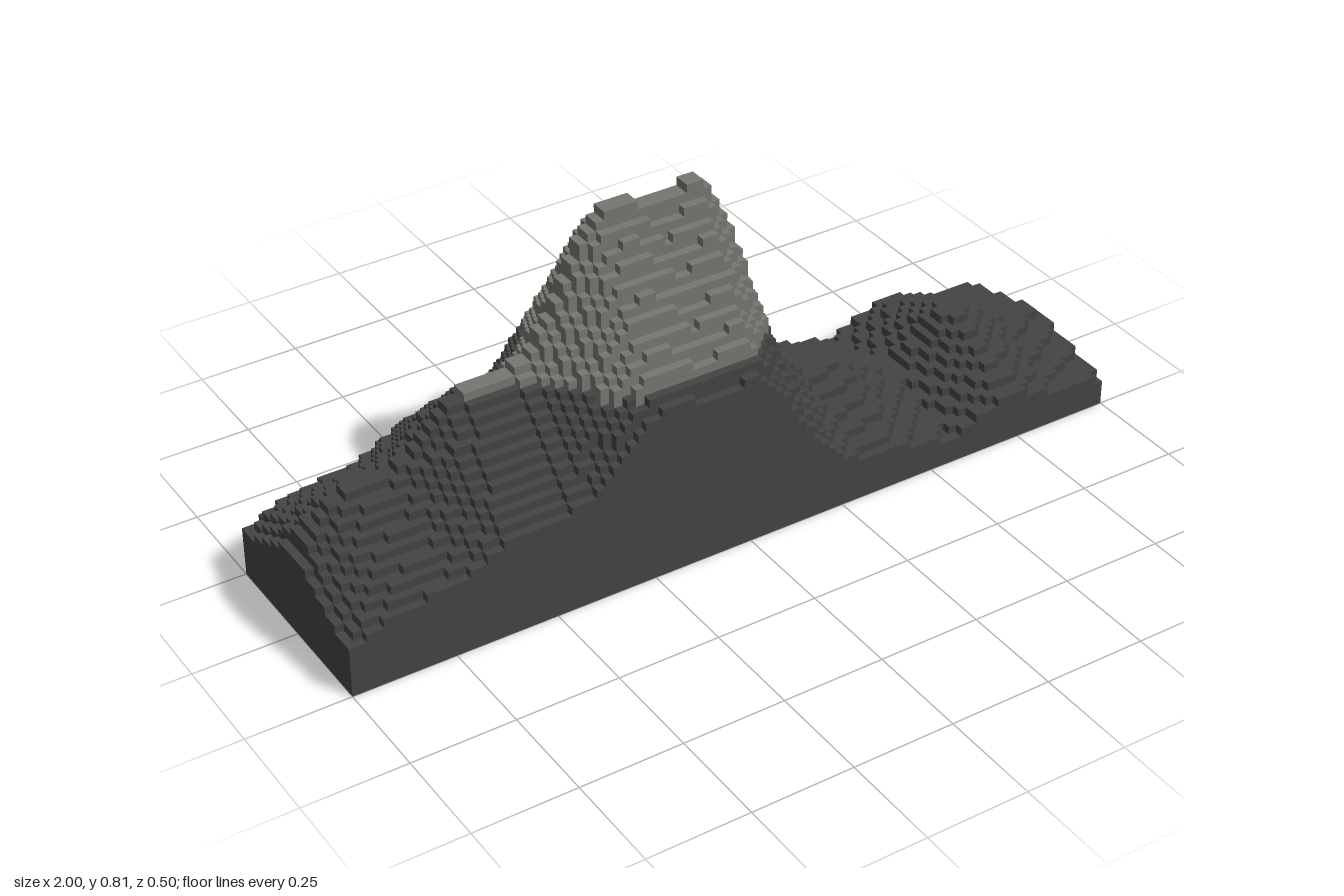
import * as THREE from 'three';

const NX = 96, NZ = 24, U = 2 / NX;      // grid of blocks and block size
const ROCK_LINE = 23;                    // columns this tall are bare rock

// Ridge line along the middle: [x, height in blocks]
const RIDGE = [
  [-1, 9.6], [-0.97, 12], [-0.94, 13.5], [-0.9, 15], [-0.87, 15.8], [-0.8, 16], [-0.76, 16.3],
  [-0.72, 17.2], [-0.68, 19], [-0.62, 22], [-0.58, 22.5], [-0.52, 23], [-0.46, 23.5], [-0.42, 24.3],
  [-0.38, 27], [-0.35, 29.5], [-0.3, 34.5], [-0.25, 38], [-0.23, 38.6], [-0.19, 39.1], [-0.15, 38.5],
  [-0.09, 37.6], [-0.02, 38.5], [0, 39], [0.02, 38.4], [0.05, 36], [0.09, 32], [0.12, 28],
  [0.14, 24.5], [0.16, 21], [0.2, 16], [0.25, 12], [0.3, 10.2], [0.36, 9.9], [0.41, 9.4],
  [0.45, 8], [0.52, 6.5], [0.55, 6], [0.58, 6.5], [0.65, 9], [0.69, 10.5], [0.73, 11.2],
  [0.77, 10.5], [0.82, 9], [0.87, 7.6], [0.92, 7], [0.97, 6.6], [1, 6],
];

function ridgeHeight(x) {
  let i = 1;
  while (i < RIDGE.length - 1 && RIDGE[i][0] < x) i++;
  const [x0, h0] = RIDGE[i - 1], [x1, h1] = RIDGE[i];
  return h0 + (h1 - h0) * (x - x0) / (x1 - x0);
}

// Column height in whole blocks; falls to about half at the long edges
function columnHeight(i, j) {
  if (i < 0 || j < 0 || i >= NX || j >= NZ) return 0;
  const fall = 1 - 0.5 * Math.abs(j + 0.5 - NZ / 2) / (NZ / 2);
  const peak = ridgeHeight((i + 0.5) * U - 1) / (1 - 0.25 / (NZ / 2));
  return Math.max(1, Math.round(peak * fall));
}

// Collects four-cornered faces, corners anticlockwise seen from outside
class FaceList {
  positions = [];
  quad(a, b, c, d) {
    for (const p of [a, b, c, a, c, d]) this.positions.push(...p);
  }
  mesh(name, material) {
    const g = new THREE.BufferGeometry();
    g.setAttribute('position', new THREE.Float32BufferAttribute(this.positions, 3));
    g.computeVertexNormals();
    const m = new THREE.Mesh(g, material);
    m.name = name;
    return m;
  }
}

export function createModel() {
  const darkStone = new THREE.MeshStandardMaterial({ color: 0x444444 });
  darkStone.name = 'darkStone';
  const paleRock = new THREE.MeshStandardMaterial({ color: 0x777771 });
  paleRock.name = 'paleRock';

  const slopes = new FaceList(), summit = new FaceList();
  for (let i = 0; i < NX; i++) {
    for (let j = 0; j < NZ; j++) {
      const h = columnHeight(i, j), y = h * U;
      const list = h >= ROCK_LINE ? summit : slopes;
      const x0 = i * U - 1, x1 = x0 + U;
      const z0 = (j - NZ / 2) * U, z1 = z0 + U;

      // Top of the column
      list.quad([x0, y, z1], [x1, y, z1], [x1, y, z0], [x0, y, z0]);

      // Sides exposed above lower neighbours
      const side = (di, dj, ax, az, bx, bz) => {
        const n = columnHeight(i + di, j + dj) * U;
        if (n < y) list.quad([ax, n, az], [bx, n, bz], [bx, y, bz], [ax, y, az]);
      };
      side(0, 1, x0, z1, x1, z1);
      side(0, -1, x1, z0, x0, z0);
      side(1, 0, x1, z1, x1, z0);
      side(-1, 0, x0, z0, x0, z1);
    }
  }

  // Flat underside
  const w = NZ * U / 2;
  slopes.quad([-1, 0, -w], [1, 0, -w], [1, 0, w], [-1, 0, w]);

  const group = new THREE.Group();
  group.name = 'mountainRidge';
  group.add(slopes.mesh('lowerSlopes', darkStone), summit.mesh('summit', paleRock));
  return group;
}
